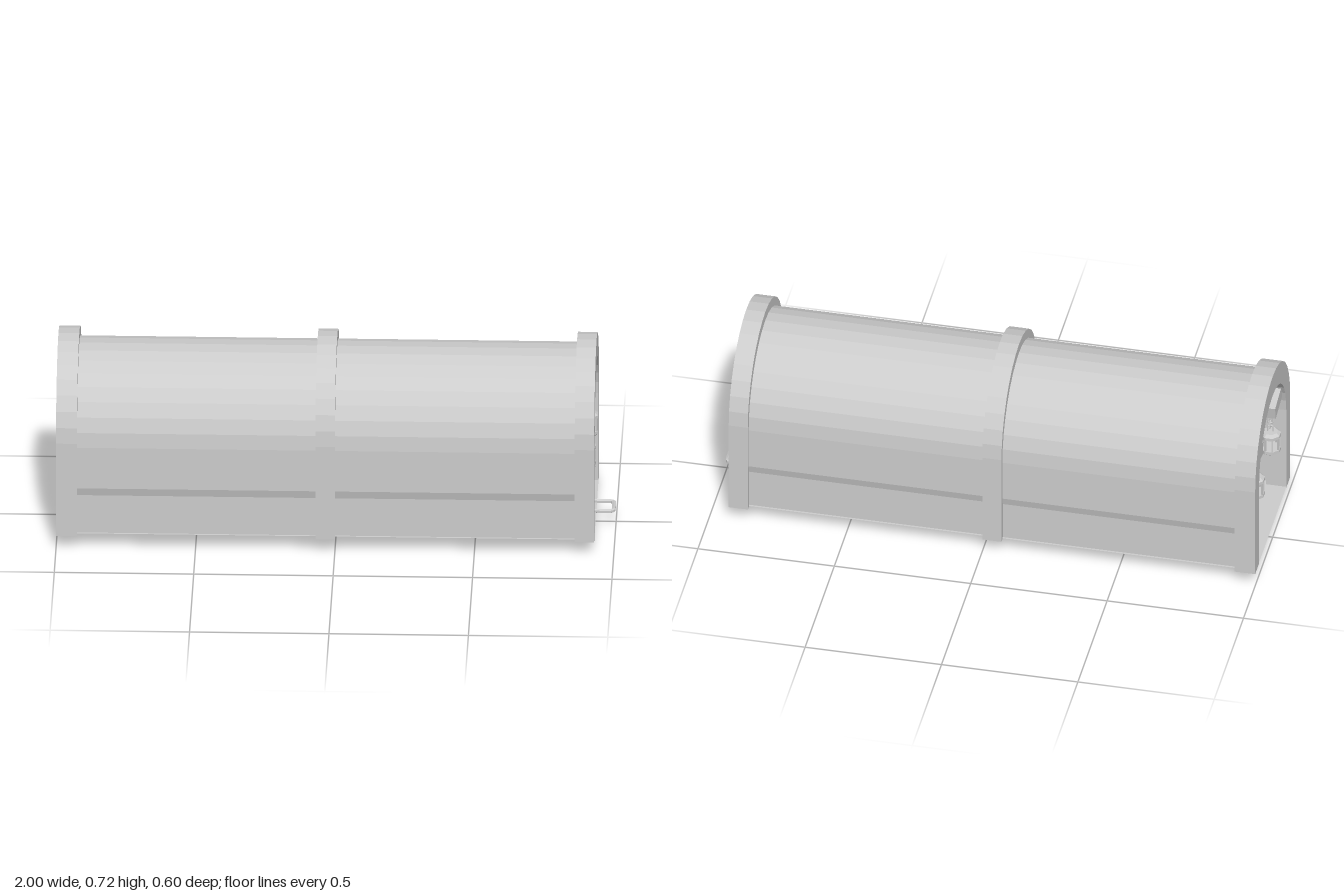
import * as THREE from 'three';

const mat = new THREE.MeshStandardMaterial({ color: 0xcccccc, flatShading: true, side: THREE.DoubleSide });

function add(parent, geometry, name, x = 0, y = 0, z = 0) {
  const mesh = new THREE.Mesh(geometry, mat);
  mesh.name = name;
  mesh.position.set(x, y, z);
  parent.add(mesh);
  return mesh;
}

// One side of an arch outline, from wall foot over the crown: points are [z, y]
function archLine(foot, radius, centreY, steps = 16) {
  const arc = [];
  for (let i = 0; i <= steps; i++) {
    const a = (i / steps) * Math.PI;
    arc.push([radius * Math.cos(a), centreY + radius * Math.sin(a)]);
  }
  return [...foot, ...arc, ...foot.map(([z, y]) => [-z, y]).reverse()];
}

// Section between two arch lines, extruded along x
function vault(outer, inner, x0, x1) {
  const points = [...outer, ...inner.slice().reverse()].map(([z, y]) => new THREE.Vector2(-z, y));
  const geometry = new THREE.ExtrudeGeometry(new THREE.Shape(points), { depth: x1 - x0, bevelEnabled: false });
  geometry.rotateY(Math.PI / 2);
  return geometry.translate(x0, 0, 0);
}

// Rounded rectangular chain link in the xy plane
function linkGeometry(w, h, corner, tube) {
  const points = [];
  const a = w / 2 - tube - corner, b = h / 2 - tube - corner;
  [[1, 1], [-1, 1], [-1, -1], [1, -1]].forEach(([sx, sy], q) => {
    for (let i = 0; i <= 3; i++) {
      const t = (q + i / 3) * Math.PI / 2;
      points.push(new THREE.Vector3(sx * a + corner * Math.cos(t), sy * b + corner * Math.sin(t), 0));
    }
  });
  const path = new THREE.CurvePath();
  points.forEach((p, i) => path.add(new THREE.LineCurve3(p, points[(i + 1) % points.length])));
  return new THREE.TubeGeometry(path, 48, tube, 6, true);
}

// Open octagonal lantern with its hanging chain
function lantern() {
  const group = new THREE.Group();
  group.name = 'lantern';
  const ring = (profile, name) => {
    const g = new THREE.LatheGeometry(profile.map(([r, y]) => new THREE.Vector2(r, y)), 8);
    add(group, g.rotateY(Math.PI / 8), name);
  };
  ring([[0, 0.35], [0.039, 0.35], [0.039, 0.361], [0.027, 0.37], [0, 0.37]], 'lanternCap');
  ring([[0, 0.279], [0.027, 0.279], [0.039, 0.288], [0.039, 0.3], [0, 0.3]], 'lanternBase');
  for (let i = 0; i < 8; i++) {
    const a = (i + 0.5) * Math.PI / 4;
    const post = add(group, new THREE.BoxGeometry(0.006, 0.052, 0.006), 'lanternPost',
      0.034 * Math.cos(a), 0.325, 0.034 * Math.sin(a));
    post.rotation.y = -a;
  }
  const link = linkGeometry(0.025, 0.031, 0.005, 0.0025);
  [0.44, 0.42, 0.401, 0.38].forEach((y, i) => {
    add(group, link, 'lanternChainLink', 0, y, 0).rotation.y = i % 2 ? 0 : Math.PI / 2;
  });
  return group;
}

// Sloping bracket, brace and lantern for the +z side
function lanternBracket() {
  const group = new THREE.Group();
  group.name = 'lanternBracket';
  add(group, new THREE.BoxGeometry(0.05, 0.051, 0.18), 'bracketBeam', 0, 0.49, 0.193).rotation.x = -0.2;
  add(group, new THREE.BoxGeometry(0.03, 0.025, 0.09), 'bracketBrace', 0, 0.45, 0.212).rotation.x = 0.5;
  const lamp = lantern();
  lamp.position.z = 0.138;
  group.add(lamp);
  return group;
}

export function createModel() {
  const model = new THREE.Group();
  model.name = 'tunnel';

  // Barrel shell; the upper wall overhangs the lower wall slightly
  const shellOuter = archLine([[0.277, 0.058], [0.277, 0.205], [0.285, 0.235]], 0.285, 0.395);
  const shellInner = archLine([[0.255, 0.058], [0.255, 0.235]], 0.255, 0.395);
  add(model, vault(shellOuter, shellInner, -0.99, 0.92), 'tunnelShell');

  // Floor
  add(model, new THREE.PlaneGeometry(1.93, 0.57).rotateX(-Math.PI / 2), 'floor', -0.035, 0.058, 0);

  // Arched ribs, each with a lantern on both sides
  const ribOuter = archLine([[0.3, 0.053]], 0.3, 0.417);
  const ribInner = archLine([[0.232, 0.053]], 0.232, 0.4);
  for (const [x0, x1] of [[-1, -0.925], [-0.07, 0], [0.86, 0.93]]) {
    add(model, vault(ribOuter, ribInner, x0, x1), 'archRib');
    for (const turn of [0, Math.PI]) {
      const bracket = lanternBracket();
      bracket.position.x = (x0 + x1) / 2;
      bracket.rotation.y = turn;
      model.add(bracket);
    }
  }

  // Coupling chain lying through the floor at the +x end
  const link = linkGeometry(0.132, 0.102, 0.014, 0.008);
  [0.706, 0.781, 0.856, 0.934].forEach((x, i) => {
    const flat = i % 2 === 1;
    add(model, link, 'couplingLink', x, flat ? 0.061 : 0.051, 0).rotation.x = flat ? Math.PI / 2 : 0;
  });

  return model;
}
